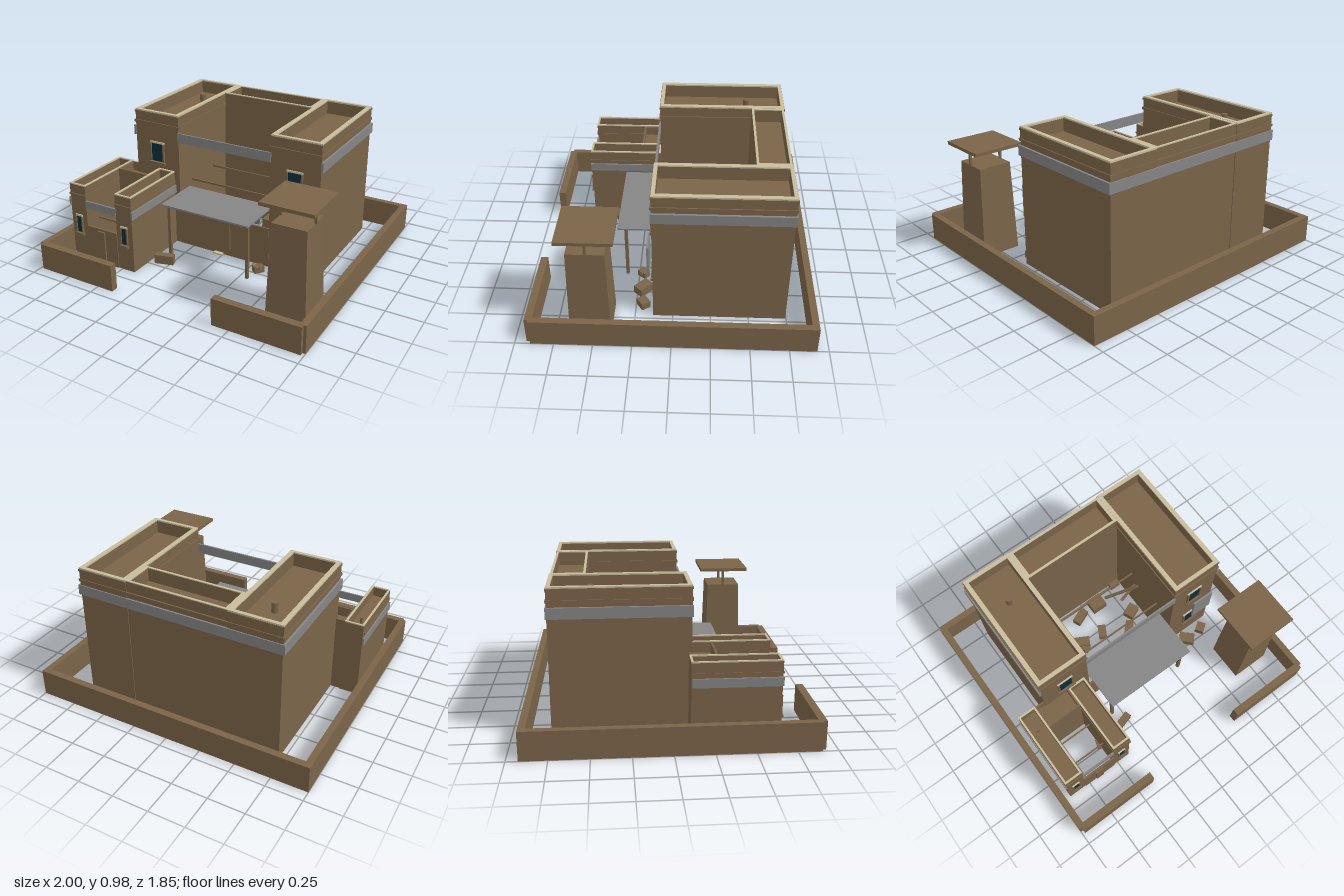
import * as THREE from 'three';

const material = (name, color) => {
  const m = new THREE.MeshStandardMaterial({ color });
  m.name = name;
  return m;
};

export function createModel() {
  const root = new THREE.Group();
  root.name = 'walledCompound';
  const adobe = material('adobe brown', 0x7b6449);
  const cream = material('cream trim', 0xc8bd9c);
  const grey = material('weathered grey', 0x858585);
  const glass = material('dark blue glass', 0x0d2f3e);

  const add = (parent, name, geometry, mat) => {
    const mesh = new THREE.Mesh(geometry, mat);
    mesh.name = name;
    parent.add(mesh);
    return mesh;
  };
  // Box given by its limits on each axis
  const box = (parent, name, mat, x0, x1, y0, y1, z0, z1) => {
    const mesh = add(parent, name, new THREE.BoxGeometry(x1 - x0, y1 - y0, z1 - z0), mat);
    mesh.position.set((x0 + x1) / 2, (y0 + y1) / 2, (z0 + z1) / 2);
    return mesh;
  };
  const group = (name) => {
    const g = new THREE.Group();
    g.name = name;
    root.add(g);
    return g;
  };
  // Rectangular ring extruded upward
  const ring = (parent, name, mat, x0, x1, z0, z1, y0, y1, tx, tz) => {
    const path = (Type, a, b, c, d) => {
      const p = new Type();
      p.moveTo(a, -d);
      p.lineTo(b, -d);
      p.lineTo(b, -c);
      p.lineTo(a, -c);
      p.closePath();
      return p;
    };
    const shape = path(THREE.Shape, x0, x1, z0, z1);
    shape.holes.push(path(THREE.Path, x0 + tx, x1 - tx, z0 + tz, z1 - tz));
    const g = new THREE.ExtrudeGeometry(shape, { depth: y1 - y0, bevelEnabled: false });
    g.rotateX(-Math.PI / 2).translate(0, y0, 0);
    return add(parent, name, g, mat);
  };

  // Flat-roofed block with a sunken roof, parapet and pale coping
  const block = (parent, name, x0, x1, z0, z1, roof, top, tx, tz, cap) => {
    box(parent, name + 'Body', adobe, x0, x1, 0, roof, z0, z1);
    ring(parent, name + 'Parapet', adobe, x0, x1, z0, z1, roof, top - cap, tx, tz);
    ring(parent, name + 'Coping', cream, x0, x1, z0, z1, top - cap, top, tx, tz);
  };

  // Beam between two points
  const beam = (parent, name, mat, a, b, w) => {
    const p = new THREE.Vector3(...a), q = new THREE.Vector3(...b);
    const mesh = add(parent, name, new THREE.BoxGeometry(w, w, p.distanceTo(q)), mat);
    mesh.position.copy(p).lerp(q, 0.5);
    mesh.lookAt(q);
    return mesh;
  };

  const window_ = (parent, x0, x1, y0, y1, z, lip) => {
    box(parent, 'windowPane', glass, x0, x1, y0, y1, z, z + 0.006);
    box(parent, 'windowLintel', cream, x0 - lip, x1 + lip, y1, y1 + 0.013, z, z + 0.009);
    box(parent, 'windowSill', adobe, x0 - lip * 1.7, x1 + lip * 1.7, y0 - 0.022, y0 - 0.004, z, z + 0.02);
    for (const s of [-1, 1]) {
      const c = s < 0 ? x0 - lip / 2 : x1 + lip / 2;
      box(parent, 'windowJamb', adobe, c - lip / 2, c + lip / 2, y0, y1, z, z + 0.014);
    }
  };

  // Perimeter wall with a front gateway
  const wall = group('perimeterWall');
  box(wall, 'backWall', adobe, -1, 1, 0, 0.19, -0.925, -0.88);
  for (const s of [-1, 1]) {
    box(wall, 'sideWall', adobe, s * 0.9775 - 0.0225, s * 0.9775 + 0.0225, 0, 0.19, -0.88, 0.9);
    box(wall, 'frontWall', adobe, s * 0.68 - 0.301, s * 0.68 + 0.301, 0, 0.189, 0.875, 0.925);
  }

  // Main house: two wings joined by a rear range around an open court
  const house = group('mainHouse');
  for (const s of [-1, 1]) {
    const c = s * 0.54;
    block(house, 'wing', c - 0.18, c + 0.18, -0.745, 0.13, 0.88, 0.98, 0.03, 0.025, 0.01);
    ring(house, 'wingCornice', adobe, c - 0.187, c + 0.187, -0.75, 0.137, 0.882, 0.9, 0.01, 0.01);
    ring(house, 'wingTopTrim', adobe, c - 0.184, c + 0.184, -0.748, 0.134, 0.955, 0.969, 0.008, 0.008);
    box(house, 'sideBand', grey, s * 0.727 - 0.008, s * 0.727 + 0.008, 0.785, 0.855, -0.752, 0.136);
    window_(house, s * 0.54 - 0.047, s * 0.54 + 0.047, 0.613, 0.747, 0.13, 0.012);
  }
  window_(house, 0.493, 0.587, 0.225, 0.357, 0.13, 0.012);
  block(house, 'rearRange', -0.36, 0.36, -0.74, -0.515, 0.88, 0.978, 0.022, 0.016, 0.006);
  box(house, 'rearBand', grey, -0.735, 0.735, 0.785, 0.855, -0.752, -0.74);
  box(house, 'rearCornice', adobe, -0.36, 0.36, 0.882, 0.9, -0.75, -0.74);
  box(house, 'courtBand', grey, -0.365, 0.365, 0.787, 0.855, 0.126, 0.138);
  box(house, 'courtFrontWall', adobe, -0.36, 0.36, 0, 0.295, 0.12, 0.132);
  box(house, 'door', adobe, -0.065, 0.057, 0.05, 0.28, 0.132, 0.14);
  box(house, 'doorStep', cream, -0.07, 0, 0, 0.012, 0.132, 0.16);
  for (const z of [-0.33, 0.035 - 0.07]) {
    box(house, 'courtBeam', adobe, -0.36, 0.36, 0.443, 0.457, z - 0.005, z + 0.005);
  }
  box(house, 'greyShutter', grey, 0.54, 0.7, 0.335, 0.56, 0.152, 0.166);
  const vent = add(house, 'roofVent', new THREE.CylinderGeometry(0.022, 0.022, 0.07, 12), adobe);
  vent.position.set(-0.54, 0.913, -0.485);

  // Smaller annex in front of the left wing
  const annex = group('annex');
  for (const s of [-1, 1]) {
    const c = -0.658 + s * 0.193;
    block(annex, 'annexWing', c - 0.066, c + 0.066, s < 0 ? 0.105 : 0.135, 0.655, 0.49, 0.563, 0.013, 0.013, 0.008);
    ring(annex, 'annexCornice', adobe, c - 0.07, c + 0.07, 0.131, 0.661, 0.478, 0.49, 0.01, 0.01);
    const e = -0.658 + s * 0.263;
    box(annex, 'annexSideBand', grey, e - 0.006, e + 0.006, 0.4, 0.457, 0.11, 0.661);
    window_(annex, c - 0.021, c + 0.021, 0.2, 0.322, 0.655, 0.008);
  }
  box(annex, 'annexRearRange', adobe, -0.785, -0.531, 0, 0.49, 0.11, 0.28);
  ring(annex, 'annexRearParapet', adobe, -0.785, -0.531, 0.11, 0.28, 0.49, 0.557, 0.012, 0.012);
  box(annex, 'annexBand', grey, -0.787, -0.529, 0.395, 0.452, 0.648, 0.66);
  box(annex, 'annexFrontWall', adobe, -0.785, -0.531, 0, 0.265, 0.645, 0.66);
  box(annex, 'annexDoor', adobe, -0.69, -0.63, 0.03, 0.25, 0.66, 0.672);
  for (const z of [0.365, 0.53]) {
    box(annex, 'annexBeam', adobe, -0.785, -0.531, 0.27, 0.282, z - 0.005, z + 0.005);
  }
  const pipe = add(annex, 'annexVent', new THREE.CylinderGeometry(0.01, 0.01, 0.05, 10), adobe);
  pipe.position.set(-0.855, 0.51, 0.245);

  // Canopy over the entrance
  const canopy = group('canopy');
  box(canopy, 'canopyRoof', grey, -0.343, 0.337, 0.41, 0.422, 0.03, 0.39);
  for (const x of [-0.313, 0.305]) {
    box(canopy, 'canopyPost', adobe, x - 0.011, x + 0.011, 0, 0.41, 0.324, 0.346);
  }
  box(canopy, 'canopyRail', adobe, -0.324, 0.316, 0.395, 0.41, 0.327, 0.343);

  // Tapered watchtower with a shade roof
  const tower = group('watchtower');
  const bodyGeometry = new THREE.BoxGeometry(0.276, 0.64, 0.272);
  const pos = bodyGeometry.attributes.position;
  for (let i = 0; i < pos.count; i++) {
    if (pos.getY(i) > 0) {
      pos.setX(i, pos.getX(i) * 0.85);
      pos.setZ(i, pos.getZ(i) * 0.89);
    }
  }
  bodyGeometry.computeVertexNormals();
  add(tower, 'towerBody', bodyGeometry, adobe).position.set(0.75, 0.32, 0.525);
  for (const x of [0.634, 0.866]) {
    box(tower, 'shadePost', adobe, x - 0.008, x + 0.008, 0.638, 0.762, 0.514, 0.53);
  }
  box(tower, 'shadeRoof', adobe, 0.572, 0.93, 0.76, 0.783, 0.34, 0.697);

  // Scattered rubble: x, z, width, depth, height, turn
  const rubble = group('rubble');
  const blocks = [
    [-0.295, 0.44, 0.135, 0.05, 0.065, 0.27], [0.49, 0.21, 0.11, 0.075, 0.06, -0.75],
    [0.63, 0.2, 0.075, 0.065, 0.05, 0.6], [-0.065, -0.42, 0.12, 0.06, 0.06, 0.4],
    [0.1, -0.435, 0.115, 0.1, 0.07, 0], [-0.175, -0.24, 0.115, 0.07, 0.06, -0.5],
    [0, -0.22, 0.06, 0.1, 0.05, -0.5], [0.185, -0.125, 0.11, 0.06, 0.05, 0.8],
    [0.28, -0.225, 0.1, 0.08, 0.06, 0.4], [0.33, 0.22, 0.07, 0.05, 0.045, 0.9],
    [0.31, -0.49, 0.08, 0.04, 0.05, 0], [0.03, 0.04, 0.08, 0.06, 0.04, -0.4],
    [-0.53, 0.47, 0.04, 0.07, 0.04, -0.3], [-0.18, -0.19, 0.05, 0.06, 0.04, 0.4],
  ];
  for (const [x, z, w, d, h, turn] of blocks) {
    const mesh = add(rubble, 'fallenBlock', new THREE.BoxGeometry(w, h, d), adobe);
    mesh.position.set(x, h / 2, z);
    mesh.rotation.y = turn;
  }
  beam(rubble, 'fallenBeam', adobe, [0.14, 0.22, -0.37], [0.355, 0.37, -0.25], 0.018);
  beam(rubble, 'fallenBeam', adobe, [0.21, 0.28, -0.26], [0.355, 0.34, -0.285], 0.018);
  beam(rubble, 'leaningBeam', adobe, [0.3, 0.01, 0.2], [0.36, 0.04, 0.24], 0.02);

  return root;
}
